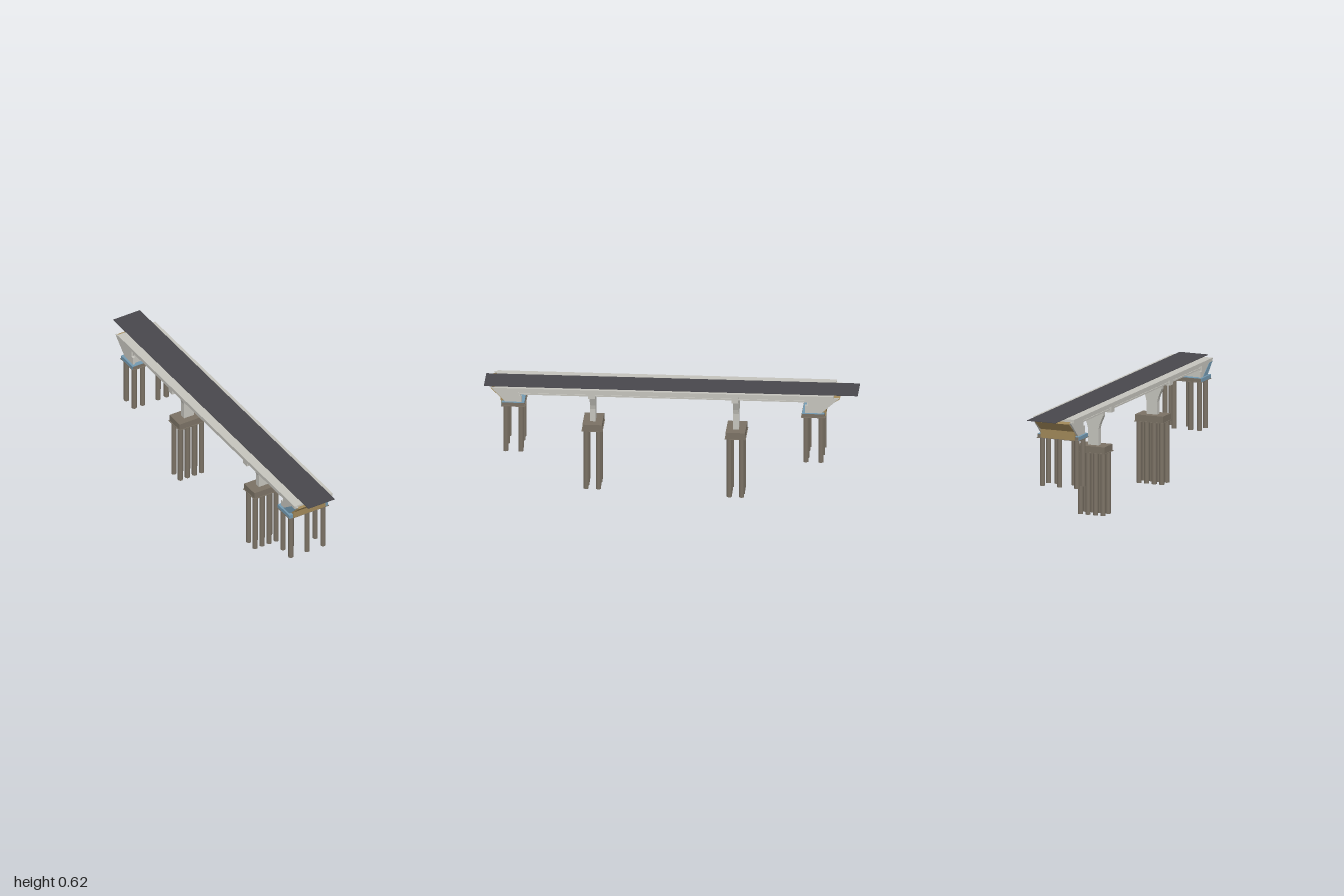
import * as THREE from 'three';

const mat = (name, color) => {
  const m = new THREE.MeshStandardMaterial({ color });
  m.name = name;
  return m;
};

export function createModel() {
  const asphalt = mat('asphalt', 0x48474c);
  const concrete = mat('concrete', 0xc4c3bc);
  const footing = mat('footing concrete', 0x7a7164);
  const blue = mat('blue waterproofing', 0x7399b0);
  const beige = mat('beige backfill', 0xa38a5a);

  const model = new THREE.Group();
  model.name = 'bridge';
  // Local x runs along the bridge, local z across it
  const bridge = new THREE.Group();
  bridge.name = 'skewedBridge';
  bridge.rotation.y = -0.113;
  model.add(bridge);

  const add = (parent, name, geometry, material, x = 0, y = 0, z = 0) => {
    const m = new THREE.Mesh(geometry, material);
    m.name = name;
    m.position.set(x, y, z);
    parent.add(m);
    return m;
  };
  // Box from ranges
  const box = (parent, name, material, [x0, x1], [y0, y1], [z0, z1]) =>
    add(parent, name, new THREE.BoxGeometry(x1 - x0, y1 - y0, z1 - z0), material,
      (x0 + x1) / 2, (y0 + y1) / 2, (z0 + z1) / 2);
  // Side profile extruded across the bridge
  const profile = (parent, name, material, points, z0, z1) => {
    const shape = new THREE.Shape(points.map(([x, y]) => new THREE.Vector2(x, y)));
    return add(parent, name, new THREE.ExtrudeGeometry(shape, { depth: z1 - z0, bevelEnabled: false }),
      material, 0, 0, z0);
  };
  const pile = (x, y0, y1, z) =>
    add(bridge, 'pile', new THREE.CylinderGeometry(0.0138, 0.0138, y1 - y0, 20), footing, x, (y0 + y1) / 2, z);

  // Superstructure, falling slightly towards +x
  const deck = new THREE.Group();
  deck.name = 'superstructure';
  deck.position.y = 0.614;
  deck.rotation.z = -0.0055;
  bridge.add(deck);
  box(deck, 'deckSlab', concrete, [-0.869, 0.94], [-0.014, 0], [-0.127, 0.109]);
  box(deck, 'road', asphalt, [-0.996, 0.996], [0.0005, 0.003], [-0.108, 0.058]);
  for (const z of [-0.127, 0.097])
    box(deck, 'edgeBeam', concrete, [-0.869, 0.94], [-0.018, -0.012], [z, z + 0.012]);
  for (let i = 0; i < 5; i++) {
    const z = -0.009 + (i - 2) * 0.046;
    box(deck, 'girderWeb', concrete, [-0.733, 0.81], [-0.036, -0.013], [z - 0.006, z + 0.006]);
    box(deck, 'girderFlange', concrete, [-0.733, 0.81], [-0.042, -0.034], [z - 0.01, z + 0.01]);
  }

  // Piers: piles, cap, flared column and cross beam
  for (const [x, base, capTop] of [[-0.342, 0, 0.375], [0.421, 0.022, 0.395]]) {
    const z = -0.007;
    for (const row of [-1, 1])
      for (let i = 0; i < 4; i++) pile(x + row * 0.0328, base, capTop - 0.035, z + (i - 1.5) * 0.0437);
    box(bridge, 'pierCap', footing, [x - 0.052, x + 0.052], [capTop - 0.035, capTop], [z - 0.081, z + 0.081]);
    box(bridge, 'pierBlinding', footing, [x - 0.056, x + 0.056], [capTop - 0.038, capTop - 0.035], [z - 0.085, z + 0.085]);
    const half = [[0.031, capTop], [0.031, 0.465], [0.037, 0.49], [0.056, 0.535], [0.056, 0.552]];
    const outline = [...half, ...half.map(([a, b]) => [-a, b]).reverse()];
    const shape = new THREE.Shape(outline.map(([a, b]) => new THREE.Vector2(a, b)));
    const column = add(bridge, 'pierColumn',
      new THREE.ExtrudeGeometry(shape, { depth: 0.03, bevelEnabled: false }), concrete, x - 0.015, 0, z);
    column.rotation.y = Math.PI / 2;
    for (const s of [-1, 1])
      box(bridge, 'bearing', concrete, [x - 0.01, x + 0.01], [0.551, 0.562], [z + s * 0.038 - 0.01, z + s * 0.038 + 0.01]);
    box(bridge, 'crossBeam', concrete, [x - 0.018, x + 0.018], [0.56, 0.602], [-0.119, 0.101]);
  }

  // Abutments; o is the distance outwards from the cap centre
  for (const [x, dir, capTop, base] of [[-0.76, -1, 0.515, 0.232], [0.839, 1, 0.525, 0.24]]) {
    const z = -0.005, low = capTop - 0.018;
    const out = (pts) => pts.map(([o, y]) => [x + dir * o, y]);
    const reach = dir < 0 ? 0.138 : 0.118;
    for (const s of [-1, 1]) {
      for (const row of [-1, 1]) pile(x + row * 0.04, base, low, z + s * 0.1);
      pile(x - dir * 0.04, base, low, z + s * 0.049);
    }
    pile(x + dir * 0.04, base, low, z);

    box(bridge, 'abutmentCap', footing, [x - 0.06, x + 0.06], [low, capTop], [z - 0.119, z + 0.119]);
    box(bridge, 'abutmentBlinding', footing, [x - 0.065, x + 0.065], [low - 0.003, low], [z - 0.123, z + 0.123]);
    // Blue coating on the cap
    box(bridge, 'capTopCoating', blue, [x - 0.06, x + 0.06], [capTop, capTop + 0.002], [z - 0.119, z + 0.12]);
    box(bridge, 'capEndCoating', blue, [x - 0.06, x + 0.06], [low, capTop + 0.002], [z + 0.119, z + 0.121]);
    if (dir > 0)
      box(bridge, 'capOuterCoating', blue, [x + 0.06, x + 0.062], [low, capTop + 0.002], [z - 0.119, z + 0.121]);

    // Seat wall, back wall and bearing pedestals
    profile(bridge, 'abutmentWall', concrete,
      out([[0.04, capTop], [-0.035, capTop], [-0.035, 0.56], [-0.01, 0.56], [-0.01, 0.6], [0.04, 0.6]]), z - 0.1, z + 0.1);
    for (let i = 0; i < 5; i++) {
      const pz = -0.009 + (i - 2) * 0.046;
      box(bridge, 'pedestal', concrete, [x - dir * 0.022 - 0.01, x - dir * 0.022 + 0.01], [0.558, 0.574], [pz - 0.008, pz + 0.008]);
    }
    // Wing walls with a raking outer edge
    const wing = out([[reach, 0.605], [0.04, capTop], [-0.045, capTop], [-0.045, 0.56],
      [-0.027, 0.56], [-0.027, 0.602], [reach - 0.03, 0.605]]);
    for (const s of [-1, 1])
      profile(bridge, 'wingWall', concrete, wing, z + s * 0.104 - 0.005, z + s * 0.104 + 0.005);
    // Raking blue band on the front wing
    if (dir > 0)
      profile(bridge, 'wingCoating', blue,
        out([[-0.02, capTop], [0.04, capTop], [reach - 0.01, 0.592], [0.07, 0.592]]), z + 0.109, z + 0.111);
    // Backfill face behind the abutment
    profile(bridge, 'backfill', beige,
      out([[reach + 0.003, 0.598], [0.068, 0.545], [0.066, low], [0.062, low], [0.062, capTop + 0.003],
        [0.038, capTop + 0.003], [0.038, 0.598]]), z - 0.099, z + 0.099);
  }
  return model;
}
